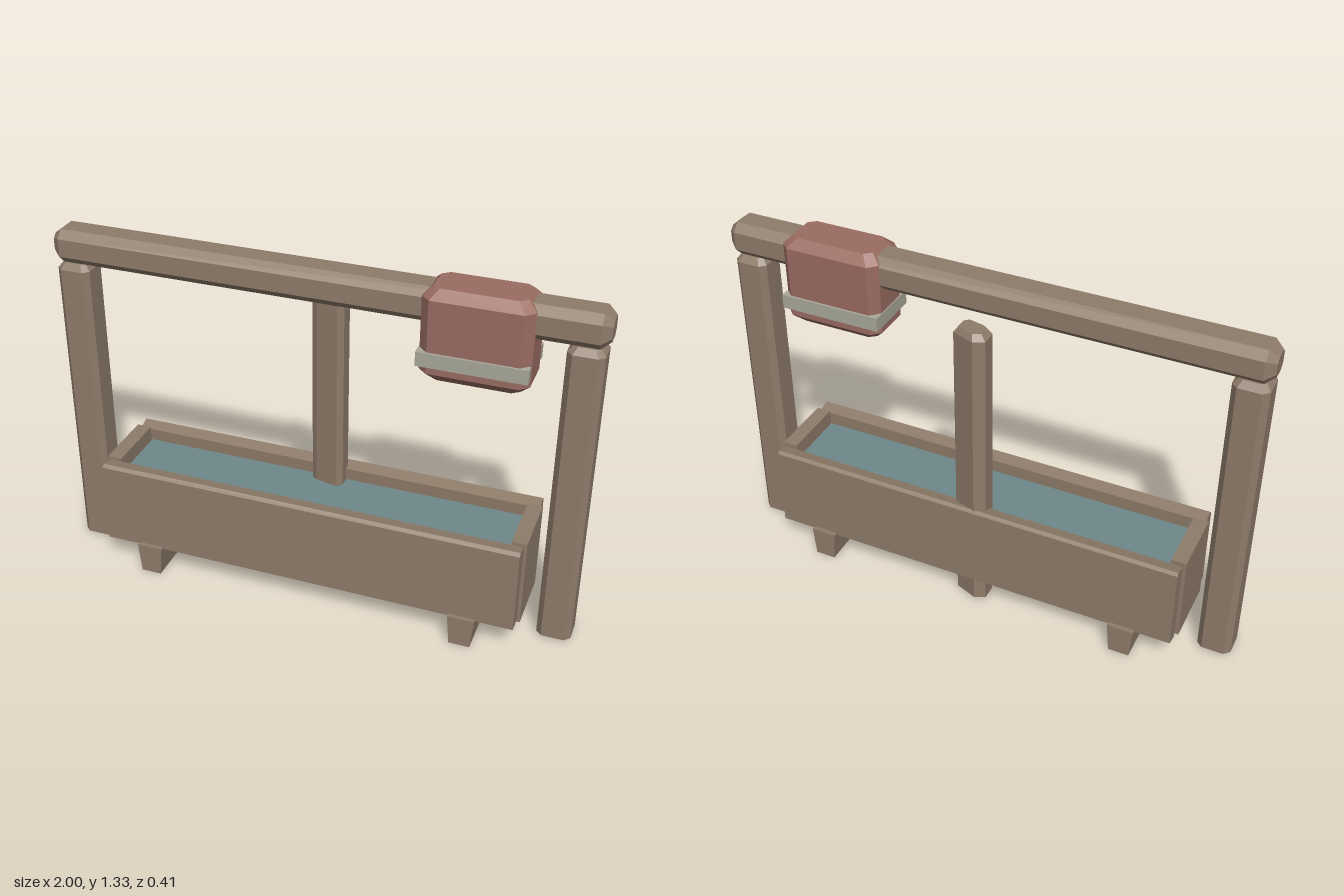
import * as THREE from 'three';
import { ConvexGeometry } from 'three/addons/geometries/ConvexGeometry.js';

const mat = (name, color) => {
  const m = new THREE.MeshStandardMaterial({ color });
  m.name = name;
  return m;
};

// Rectangle with cut corners, as [x, z] pairs
function cutRect(hx, hz, c) {
  const pts = [];
  for (const sx of [-1, 1]) for (const sz of [-1, 1]) {
    pts.push([sx * hx, sz * (hz - c)], [sx * (hx - c), sz * hz]);
  }
  return pts;
}

// Faceted solid from one outline scaled at several heights: [y, scaleX, scaleZ]
function loft(outline, rings) {
  const pts = [];
  for (const [y, sx, sz] of rings) {
    for (const [x, z] of outline) pts.push(new THREE.Vector3(x * sx, y, z * sz));
  }
  return new ConvexGeometry(pts);
}

// Board along x whose section is four [y, z] corners
function board(halfLength, section) {
  const pts = [];
  for (const x of [-halfLength, halfLength]) {
    for (const [y, z] of section) pts.push(new THREE.Vector3(x, y, z));
  }
  return new ConvexGeometry(pts);
}

export function createModel() {
  const group = new THREE.Group();
  const wood = mat('wood', 0x8e7c6a);
  const red = mat('red leather', 0x9a6c62);
  const grey = mat('pale strap', 0xaaa899);
  const blue = mat('water', 0x6f888b);

  const add = (name, geometry, material, x = 0, y = 0, z = 0) => {
    const mesh = new THREE.Mesh(geometry, material);
    mesh.name = name;
    mesh.position.set(x, y, z);
    group.add(mesh);
    return mesh;
  };
  const box = (name, material, w, h, d, x, y, z) =>
    add(name, new THREE.BoxGeometry(w, h, d), material, x, y, z);

  // Upright posts with bevelled tops
  const postRings = [[0.01, 1, 1], [1.165, 1, 1], [1.188, 0.7, 0.7]];
  const sidePost = loft(cutRect(0.063, 0.062, 0.021), postRings);
  add('rightPost', sidePost, wood, -0.93);
  add('leftPost', sidePost, wood, 0.926);

  // Back post, slightly turned and uneven
  const backOutline = [[-0.065, 0.022], [-0.045, 0.036], [0.04, 0.055], [0.06, 0.036],
    [0.06, -0.022], [-0.025, -0.055], [-0.065, -0.036]];
  add('backPost', loft(backOutline, postRings), wood, 0, 0, -0.127);

  // Top rail
  const rail = loft(cutRect(0.063, 0.068, 0.029),
    [[-1, 0.6, 0.6], [-0.968, 1, 1], [0.968, 1, 1], [1, 0.6, 0.6]]);
  rail.rotateZ(Math.PI / 2);
  add('topRail', rail, wood, 0, 1.253, 0);

  // Saddle pad hung over the rail
  add('saddlePad', loft(cutRect(0.19, 0.1, 0.032),
    [[0.988, 0.81, 0.62], [1.026, 1, 1], [1.295, 1, 1], [1.328, 0.83, 0.68]]), red, 0.571);

  // Strap, open at one end
  for (const s of [-1, 1]) box('strapSide', grey, 0.383, 0.053, 0.03, 0.569, 1.08, s * 0.093);
  box('strapEnd', grey, 0.02, 0.053, 0.2, 0.387, 1.08, 0);

  // Trough planks
  add('frontPlank', board(0.803,
    [[0.11, 0.19], [0.43, 0.19], [0.441, 0.178], [0.431, 0.128], [0.11, 0.132]]), wood);
  add('backPlank', board(0.803,
    [[0.11, -0.19], [0.43, -0.188], [0.441, -0.178], [0.428, -0.13], [0.1, -0.142]]), wood);
  for (const s of [-1, 1]) {
    box('endBoard', wood, 0.056, 0.342, 0.25, s * 0.786, 0.27, 0);
  }
  box('troughFloor', wood, 1.53, 0.04, 0.235, 0, 0.123, 0);
  box('waterSurface', blue, 1.52, 0.008, 0.27, 0, 0.376, 0);

  // Tapered cross feet
  for (const x of [-0.62, 0.616]) {
    add('crossFoot', loft([[-0.05, -0.207], [0.05, -0.207], [0.05, 0.207], [-0.05, 0.207]],
      [[0, 0.78, 1], [0.118, 1, 1]]), wood, x);
  }

  return group;
}
